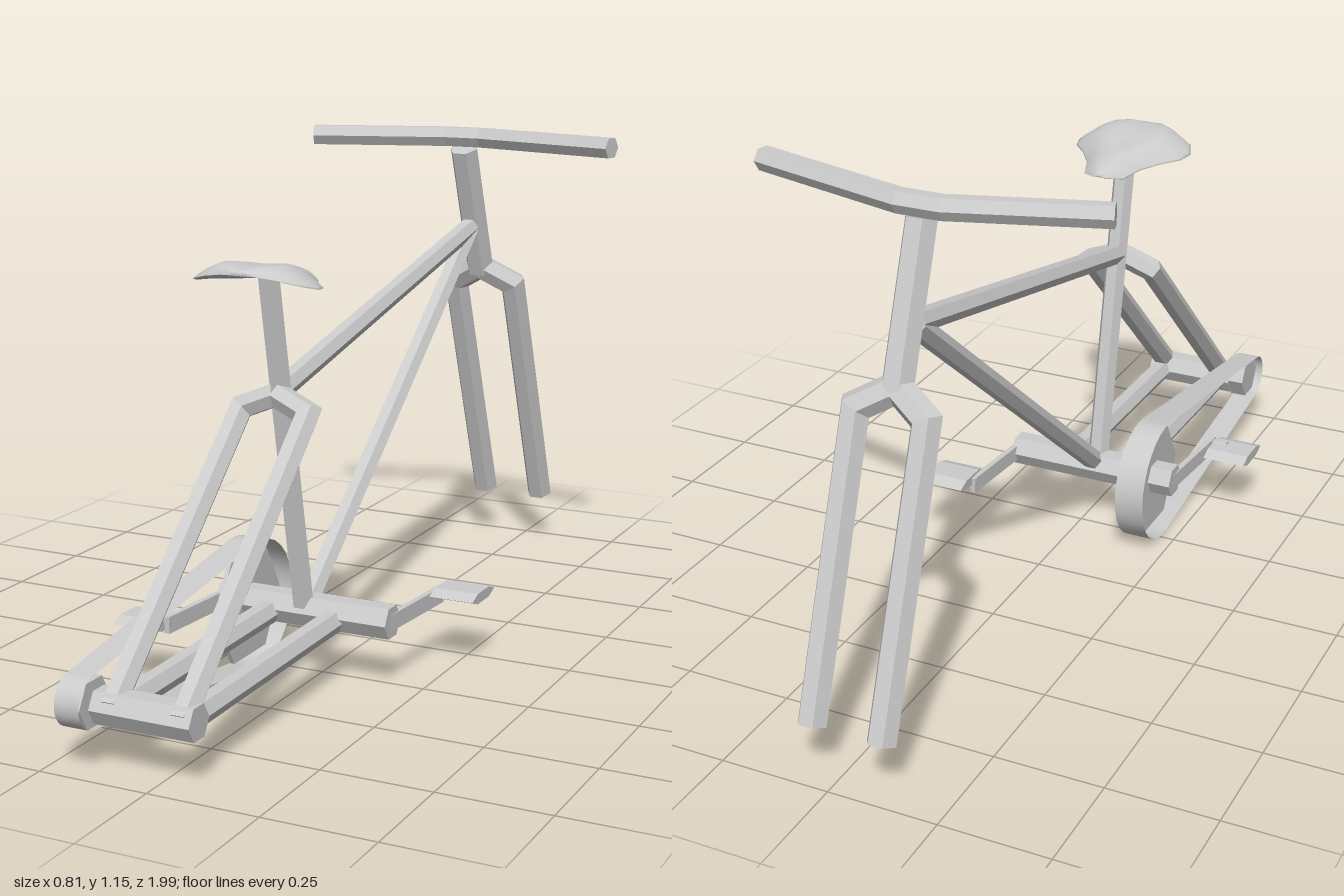
import * as THREE from 'three';

const CX = -0.03; // centre plane of the frame
const X = new THREE.Vector3(1, 0, 0), Z = new THREE.Vector3(0, 0, 1);
const flat = new THREE.MeshStandardMaterial({ color: 0xcccccc, flatShading: true });
const smooth = new THREE.MeshStandardMaterial({ color: 0xcccccc, side: THREE.DoubleSide });

// Indexed geometry from rings of equal length, optionally capped at both ends
function loft(rings, capped = true) {
  const n = rings[0].length, m = rings.length, idx = [];
  for (let i = 0; i < m - 1; i++) for (let j = 0; j < n; j++) {
    const a = i * n + j, b = i * n + (j + 1) % n;
    idx.push(a, b, b + n, a, b + n, a + n);
  }
  if (capped) for (let j = 1; j < n - 1; j++) {
    const e = (m - 1) * n;
    idx.push(0, j + 1, j, e, e + j, e + j + 1);
  }
  const g = new THREE.BufferGeometry().setFromPoints(rings.flat());
  g.setIndex(idx);
  g.computeVertexNormals();
  return g;
}

// Six-sided tube along a path with mitred bends; a corner points along axis
function hexTube(path, r, axis = X) {
  const p = path.map(a => new THREE.Vector3(...a));
  const dirs = p.slice(1).map((q, i) => q.clone().sub(p[i]).normalize());
  const d0 = dirs[0];
  const e1 = axis.clone().addScaledVector(d0, -axis.dot(d0)).normalize();
  const e2 = d0.clone().cross(e1);
  const rings = [Array.from({ length: 6 }, (_, k) => p[0].clone()
    .addScaledVector(e1, r * Math.cos(k * Math.PI / 3))
    .addScaledVector(e2, r * Math.sin(k * Math.PI / 3)))];
  for (let i = 1; i < p.length; i++) {
    const d = dirs[i - 1], normal = d.clone().add(dirs[i] || d).normalize();
    rings.push(rings[i - 1].map(v => v.clone()
      .addScaledVector(d, p[i].clone().sub(v).dot(normal) / d.dot(normal))));
  }
  return loft(rings);
}

// Saddle: cross-sections along z as [z, half width, rim y, crown y]
function saddleGeometry() {
  const sections = [
    [0.27, 0.02, 0.91, 0.922], [0.295, 0.05, 0.905, 0.932], [0.35, 0.068, 0.912, 0.948],
    [0.4, 0.1, 0.916, 0.962], [0.44, 0.136, 0.919, 0.972], [0.48, 0.145, 0.922, 0.98],
    [0.52, 0.13, 0.932, 0.98], [0.55, 0.085, 0.945, 0.971], [0.56, 0.04, 0.952, 0.962]];
  const N = 12;
  return loft(sections.map(([z, w, rim, top]) => {
    const h = top - rim, ring = [];
    for (let k = 0; k < 2 * N; k++) {
      const u = Math.cos(k * Math.PI / N);
      const dip = w > 0.08 ? 0.3 * h * Math.max(0, 1 - 2 * Math.abs(u)) : 0;
      const y = k <= N ? top - h * Math.abs(u) ** 2.2 - dip : rim + 0.3 * h * (1 - u * u);
      ring.push(new THREE.Vector3(CX + w * u, y, z));
    }
    return ring;
  }));
}

// Chain: thin open band around the two sprockets
function chainGeometry(big, small) {
  const lean = Math.acos((big.r - small.r) / (small.z - big.z));
  const outline = [], N = 16;
  const arc = (c, from, to) => {
    for (let i = 0; i <= N; i++) {
      const a = from + (to - from) * i / N;
      outline.push([c.z + c.r * Math.cos(a), c.y + c.r * Math.sin(a)]);
    }
  };
  arc(big, lean, 2 * Math.PI - lean);
  arc(small, -lean, lean);
  const edge = s => outline.map(([z, y]) =>
    new THREE.Vector3(-0.18 + s * (0.037 - 0.008 * z), y, z));
  return loft([edge(-1), edge(1)], false);
}

export function createModel() {
  const model = new THREE.Group();
  const add = (name, geometry, material = flat) => {
    const mesh = new THREE.Mesh(geometry, material);
    mesh.name = name;
    model.add(mesh);
    return mesh;
  };

  // Main frame
  add('handlebar', hexTube([[-0.397, 1.134, -0.495], [-0.075, 1.134, -0.598],
    [0.02, 1.134, -0.598], [0.397, 1.134, -0.495]], 0.027, Z));
  add('headTube', hexTube([[CX, 1.105, -0.6], [CX, 0.78, -0.718]], 0.036));
  add('topTube', hexTube([[CX, 0.9, -0.64], [CX, 0.675, 0.4]], 0.025));
  add('downTube', hexTube([[CX, 0.895, -0.64], [CX, 0.165, 0.265]], 0.025));
  add('seatTube', hexTube([[CX, 0.94, 0.43], [CX, 0.15, 0.28]], 0.026));
  add('saddle', saddleGeometry(), smooth);

  // Fork and rear triangle, mirrored about the frame plane
  for (const s of [-1, 1]) {
    const x = CX + s * 0.08;
    add('forkBlade', hexTube([[x, 0.13, -0.965], [x, 0.745, -0.745], [CX, 0.79, -0.715]], 0.033));
    add('seatStay', hexTube([[x, 0.14, 0.945], [x, 0.64, 0.41], [CX, 0.673, 0.4]], 0.028));
    add('chainStay', hexTube([[x, 0.135, 0.945], [x, 0.145, 0.28]], 0.028));
  }
  add('rearAxle', hexTube([[-0.15, 0.137, 0.93], [0.08, 0.137, 0.93]], 0.04, Z));
  add('bottomBracket', hexTube([[-0.24, 0.155, 0.272], [0.185, 0.155, 0.272]], 0.04, Z));

  // Drive train
  const big = { z: 0.272, y: 0.15, r: 0.148 }, small = { z: 0.945, y: 0.145, r: 0.056 };
  add('chain', chainGeometry(big, small), smooth);
  add('chainwheel', hexTube([[-0.185, big.y, big.z], [-0.175, big.y, big.z]], 0.145, Z));
  add('rearSprocket', hexTube([[-0.19, small.y, small.z], [-0.15, small.y, small.z]], 0.056, Z));

  // Cranks and pedals, half a turn apart
  for (const s of [-1, 1]) {
    const hub = s > 0 ? 0.18 : -0.235, zAt = d => 0.272 - s * d;
    const crank = add('crank', new THREE.BoxGeometry(0.014, 0.038, 0.245));
    crank.position.set(hub + s * 0.008, 0.154, zAt(0.11));
    crank.rotation.y = -0.08;
    const pedal = add('pedal', hexTube([[-0.053, 0, 0], [0.053, 0, 0]], 0.064, Z));
    pedal.scale.y = 0.22;
    pedal.position.set(s > 0 ? 0.253 : -0.312, s > 0 ? 0.167 : 0.153, s > 0 ? 0.045 : 0.482);
    const spindle = add('pedalSpindle', hexTube([[0, 0, 0], [s * 0.05, 0, 0]], 0.012, Z));
    spindle.position.set(hub + s * 0.01, 0.16, zAt(0.22));
  }
  return model;
}
